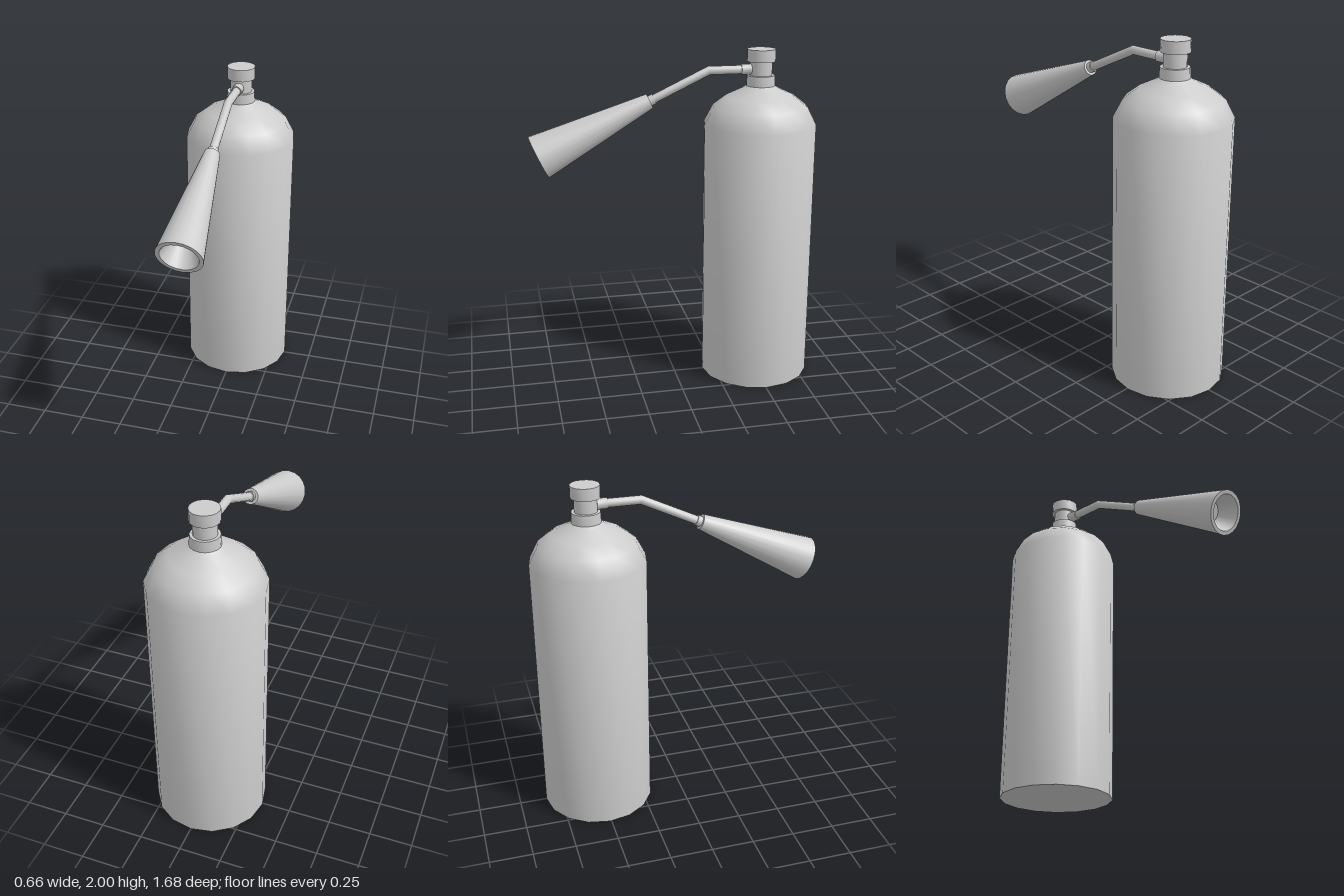
import * as THREE from 'three';
import { toCreasedNormals } from 'three/addons/utils/BufferGeometryUtils.js';

const material = new THREE.MeshStandardMaterial({ color: 0xcccccc });
const TANK_Z = -0.51;

function lathe(name, profile, sides) {
  const points = profile.map(([r, y]) => new THREE.Vector2(r, y));
  const geometry = toCreasedNormals(new THREE.LatheGeometry(points, sides), 0.72);
  const mesh = new THREE.Mesh(geometry, material);
  mesh.name = name;
  return mesh;
}

// Closed drum of radius r from y0 to y1
const drum = (name, r, y0, y1, sides = 16) =>
  lathe(name, [[0, y0], [r, y0], [r, y1], [0, y1]], sides);

// Round pipe with one mitred bend, running in the x = 0 plane
function bentPipe(start, bend, end, radius) {
  const angle = Math.atan2(bend.y - end.y, end.z - bend.z);
  const stations = [
    { centre: start, tilt: 0, stretch: 1 },
    { centre: bend, tilt: angle / 2, stretch: 1 / Math.cos(angle / 2) },
    { centre: end, tilt: angle, stretch: 1 },
  ];
  const geometry = new THREE.CylinderGeometry(radius, radius, 2, 12, 2, true);
  const pos = geometry.attributes.position;
  for (let i = 0; i < pos.count; i++) {
    const { centre, tilt, stretch } = stations[Math.round(pos.getY(i)) + 1];
    const up = -pos.getZ(i) * stretch;
    pos.setXYZ(i, pos.getX(i), centre.y + up * Math.cos(tilt), centre.z + up * Math.sin(tilt));
  }
  const mesh = new THREE.Mesh(toCreasedNormals(geometry, 0.6), material);
  mesh.name = 'dischargePipe';
  return mesh;
}

export function createModel() {
  const model = new THREE.Group();
  model.name = 'fireExtinguisher';

  // Cylinder with domed shoulder and neck, topped by the valve
  const body = new THREE.Group();
  body.name = 'body';
  body.position.z = TANK_Z;
  body.add(
    lathe('tank', [
      [0, 0], [0.33, 0], [0.33, 1.57], [0.278, 1.67], [0.2, 1.73],
      [0.105, 1.775], [0.085, 1.79], [0.082, 1.85], [0, 1.85],
    ], 16),
    drum('valveStem', 0.065, 1.84, 1.94),
    drum('valveCap', 0.083, 1.93, 2),
  );
  model.add(body);

  // Pipe from the valve down to the horn
  const start = new THREE.Vector3(0, 1.885, -0.5);
  const bend = new THREE.Vector3(0, 1.885, -0.2);
  const hornBase = new THREE.Vector3(0, 1.722, 0.145);
  model.add(bentPipe(start, bend, hornBase, 0.025));

  // Collar where the pipe leaves the valve
  const collar = drum('valveCollar', 0.031, 0, 0.06, 12);
  collar.position.set(0, 1.885, -0.45);
  collar.rotation.x = Math.PI / 2;
  model.add(collar);

  // Horn with hollow mouth, and the ferrule at its narrow end
  const horn = new THREE.Group();
  horn.name = 'hornAssembly';
  horn.position.copy(hornBase);
  horn.rotation.x = Math.atan2(0.64, -0.295);
  horn.add(
    lathe('horn', [
      [0, 0], [0.045, 0], [0.13, 0.705], [0.106, 0.705], [0.063, 0.59], [0, 0.59],
    ], 20),
    drum('hornFerrule', 0.031, -0.03, 0.01, 12),
  );
  model.add(horn);

  return model;
}
